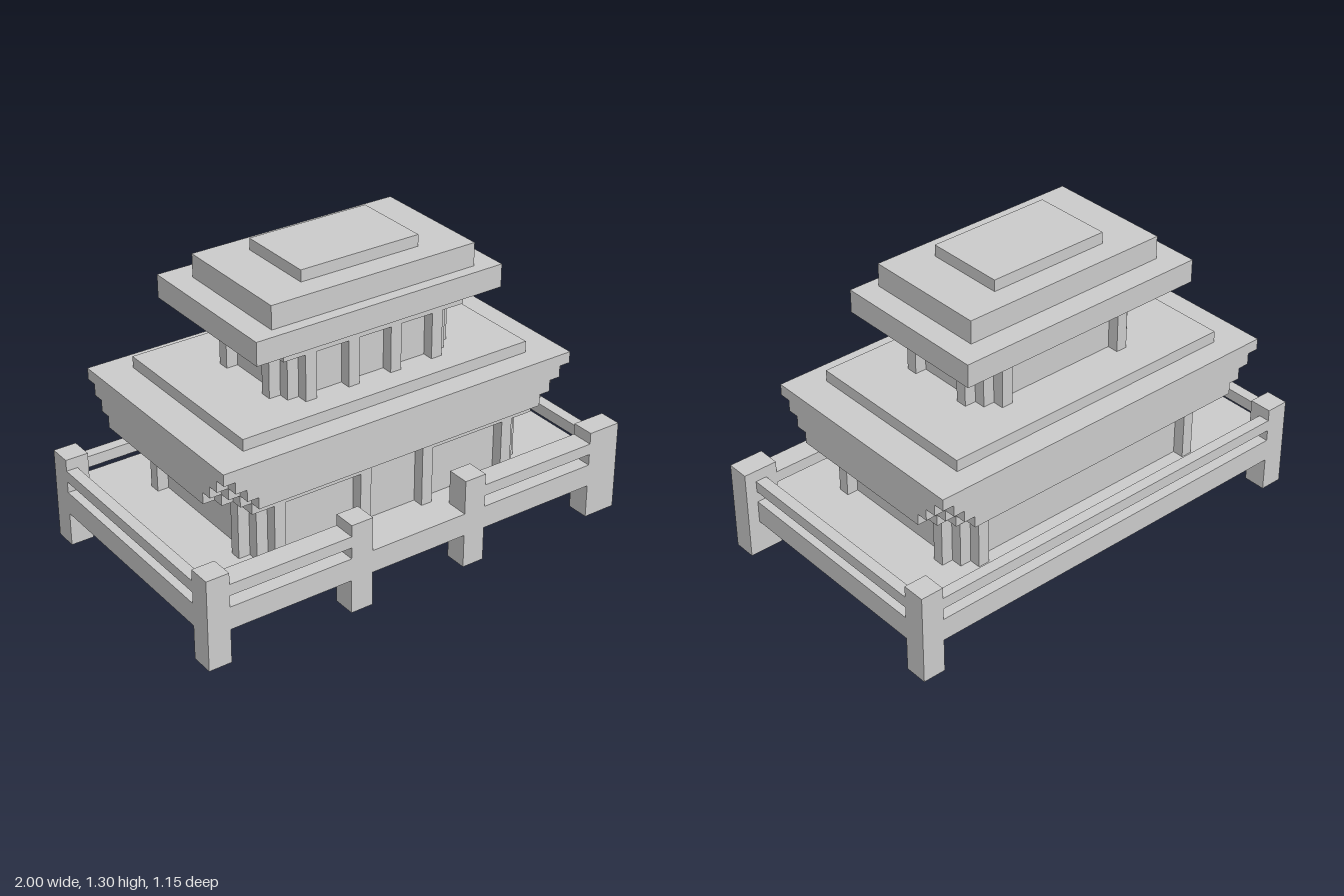
import * as THREE from 'three';

const S = 0.05; // one block
const CX = -0.025; // middle of the building

export function createModel() {
  const model = new THREE.Group();
  const material = new THREE.MeshStandardMaterial({ color: 0xcccccc, flatShading: true });

  // Box given by its limits on each axis
  function box(name, x0, x1, y0, y1, z0, z1) {
    const mesh = new THREE.Mesh(new THREE.BoxGeometry(x1 - x0, y1 - y0, z1 - z0), material);
    mesh.position.set((x0 + x1) / 2, (y0 + y1) / 2, (z0 + z1) / 2);
    mesh.name = name;
    model.add(mesh);
  }

  // Rectangular slab whose corners are cut in n diagonal block steps
  function steppedSlab(name, hx, hz, n, y0, height, cz) {
    const corner = [];
    for (let i = 0; i < n; i++) {
      corner.push([hx - i * S, hz - (n - i) * S], [hx - (i + 1) * S, hz - (n - i) * S]);
    }
    corner.push([hx - n * S, hz]);
    const back = [...corner].reverse();
    const points = [
      ...corner,
      ...back.map(([x, z]) => [-x, z]),
      ...corner.map(([x, z]) => [-x, -z]),
      ...back.map(([x, z]) => [x, -z]),
    ];
    const shape = new THREE.Shape(points.map(([x, z]) => new THREE.Vector2(x, z)));
    const geometry = new THREE.ExtrudeGeometry(shape, { depth: height, bevelEnabled: false });
    geometry.rotateX(-Math.PI / 2);
    const mesh = new THREE.Mesh(geometry, material);
    mesh.position.set(CX, y0, cz);
    mesh.name = name;
    model.add(mesh);
  }

  // Raised deck
  box('deck', -1, 0.95, 0.15, 0.25, -0.575, 0.575);

  // Posts running from the ground up through the deck
  const frontPosts = [[-1, -0.9], [-0.35, -0.25], [0.2, 0.3], [0.85, 1]];
  for (const [a, b] of frontPosts) box('frontPost', a, b, 0, 0.4, 0.475, 0.575);
  for (const [a, b] of [[-1, -0.9], [0.85, 0.95]]) box('backPost', a, b, 0, 0.4, -0.575, -0.475);

  // Railings, open at the front steps
  box('frontRailRight', -0.9, -0.35, 0.3, 0.35, 0.475, 0.575);
  box('frontRailLeft', 0.3, 0.85, 0.3, 0.35, 0.475, 0.575);
  box('sideRailRight', -1, -0.95, 0.3, 0.35, -0.475, 0.475);
  box('sideRailLeft', 0.9, 0.95, 0.3, 0.35, -0.475, 0.475);
  box('backRail', -0.9, 0.85, 0.3, 0.35, -0.575, -0.525);

  // Walls with columns standing one block proud under a beam
  function storey(name, hx, hz, y0, y1, frontColumns) {
    const x0 = CX - hx, x1 = CX + hx, top = y1 - S;
    box(name + 'Walls', x0 + S, x1 - S, y0, y1, -hz + S, hz - S);
    for (const x of frontColumns) box(name + 'FrontColumn', x, x + S, y0, top, hz - S, hz);
    for (const x of [x0 + 2 * S, x1 - 3 * S]) box(name + 'BackColumn', x, x + S, y0, top, -hz, -hz + S);
    for (const x of [x0, x1 - S]) {
      for (const z of [-hz + 2 * S, hz - 3 * S]) box(name + 'SideColumn', x, x + S, y0, top, z, z + S);
      box(name + 'SideBeam', x, x + S, top, y1, -hz, hz);
    }
    box(name + 'BackBeam', x0 + S, x1 - S, top, y1, -hz, -hz + S);
  }

  storey('lower', 0.675, 0.425, 0.25, 0.55, [-0.6, -0.2, 0.1, 0.5]);
  box('lowerFrontBeamRight', -0.65, -0.15, 0.5, 0.55, 0.375, 0.425);
  box('lowerFrontBeamLeft', 0.1, 0.6, 0.5, 0.55, 0.375, 0.425);

  // Lower roof with upswept stepped corners
  for (let i = 0; i < 4; i++) {
    steppedSlab('lowerEave', 0.825, 0.5, 3 - i, 0.55 + i * S, S, -0.025);
  }
  box('lowerRoofTop', -0.7, 0.65, 0.75, 0.8, -0.425, 0.375);

  storey('upper', 0.425, 0.275, 0.8, 1.05, [-0.35, -0.15, 0.05, 0.25]);
  box('upperFrontBeam', -0.4, 0.35, 1, 1.05, 0.225, 0.275);

  // Upper roof tiers
  box('upperEave', -0.6, 0.55, 1.05, 1.15, -0.375, 0.325);
  box('upperRoofTier', -0.5, 0.45, 1.15, 1.25, -0.275, 0.275);
  box('upperRoofCap', -0.3, 0.25, 1.25, 1.3, -0.175, 0.175);

  return model;
}
